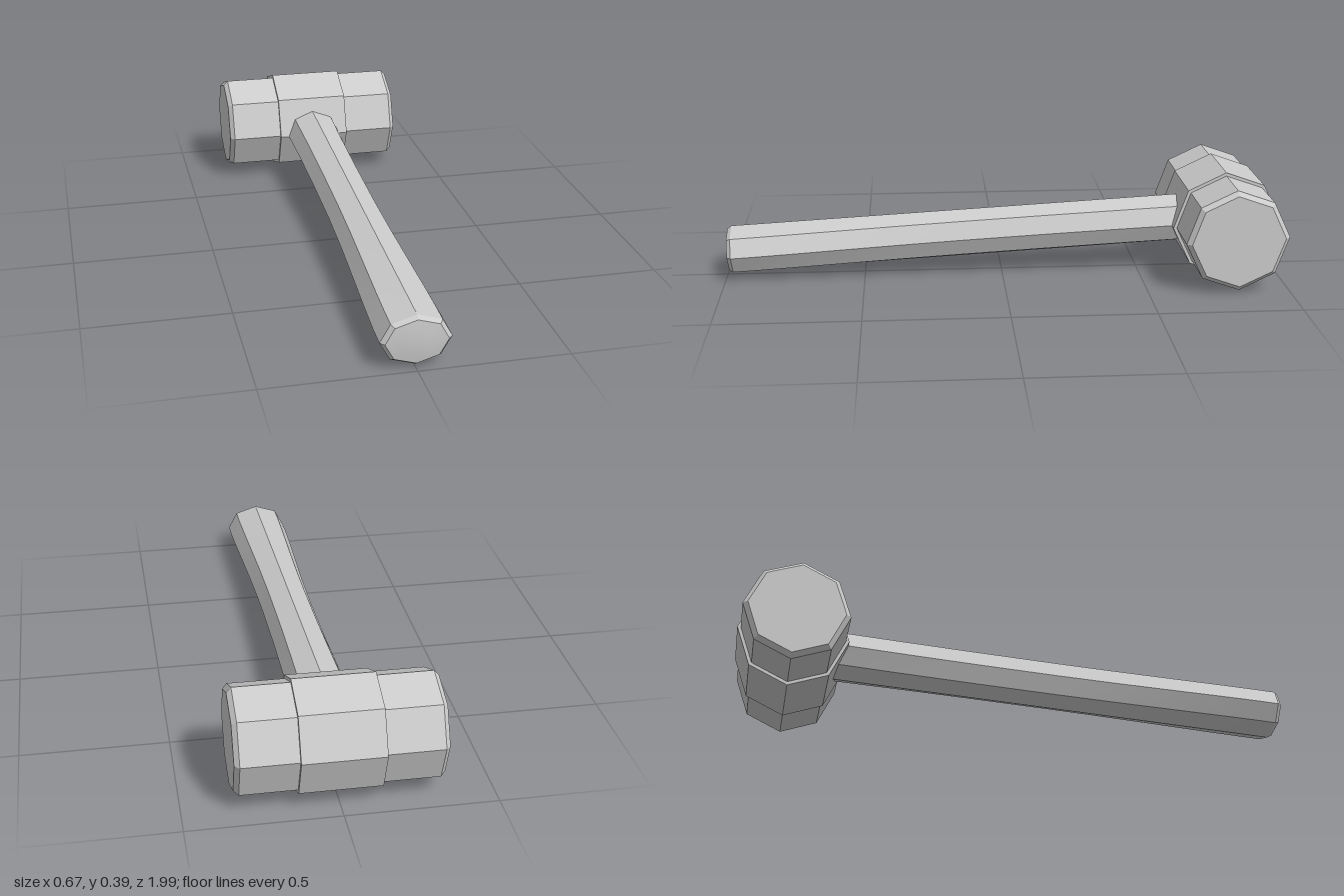
import * as THREE from 'three';
import { toCreasedNormals } from 'three/addons/utils/BufferGeometryUtils.js';

const SIDES = 8;
const HANDLE_HALF_HEIGHT = 0.088;
const material = new THREE.MeshStandardMaterial({ color: 0xcccccc });

// Eight-sided solid from [radius, position along axis] pairs, lowest first
function octagonal(profile) {
  return new THREE.LatheGeometry(profile.map(([r, t]) => new THREE.Vector2(r, t)), SIDES);
}

function addPart(group, name, geometry) {
  const mesh = new THREE.Mesh(toCreasedNormals(geometry, 0.4), material);
  mesh.name = name;
  group.add(mesh);
  return mesh;
}

function createHead() {
  const head = new THREE.Group();
  head.name = 'head';

  // Raised collar around the middle
  const collar = octagonal([[0, -0.135], [0.194, -0.135], [0.194, 0.135], [0, 0.135]]);
  addPart(head, 'collar', collar.rotateZ(-Math.PI / 2));

  // Striking ends with chamfered rims
  for (const side of [1, -1]) {
    const end = octagonal([[0, 0.12], [0.182, 0.12], [0.182, 0.321], [0.165, 0.337], [0, 0.337]]);
    addPart(head, side > 0 ? 'leftStrikingEnd' : 'rightStrikingEnd', end.rotateZ(-side * Math.PI / 2));
  }
  return head;
}

function createHandle(parent) {
  // Half width along the length; the height stays constant
  const sections = [
    [0, 0.05], [0.104, 0.05], [0.103, 0.19], [0.098, 0.4], [0.095, 0.65], [0.095, 0.95],
    [0.099, 1.17], [0.106, 1.38], [0.113, 1.58], [0.116, 1.7], [0.116, 1.782],
    [0.102, 1.797], [0.06, 1.801], [0, 1.803],
  ];
  const geometry = octagonal(sections);
  const pos = geometry.attributes.position;
  for (let i = 0; i < pos.count; i++) {
    const [halfWidth, along] = sections[i % sections.length];
    // Flatten the shaft to a constant height, rounding in only at the butt
    const height = along > 1.79 ? halfWidth * 0.76 : halfWidth > 0 ? HANDLE_HALF_HEIGHT : 0;
    if (halfWidth > 0) pos.setZ(i, pos.getZ(i) * height / halfWidth);
  }
  addPart(parent, 'handle', geometry.rotateX(Math.PI / 2));
}

export function createModel() {
  const model = new THREE.Group();
  model.name = 'hammer';

  // Pivot at the head centre; the hammer rests tilted on head and butt
  const body = new THREE.Group();
  body.name = 'hammerBody';
  body.position.set(0, 0.194, -0.806);
  body.rotation.x = THREE.MathUtils.degToRad(3.1);
  body.add(createHead());
  createHandle(body);

  model.add(body);
  return model;
}
